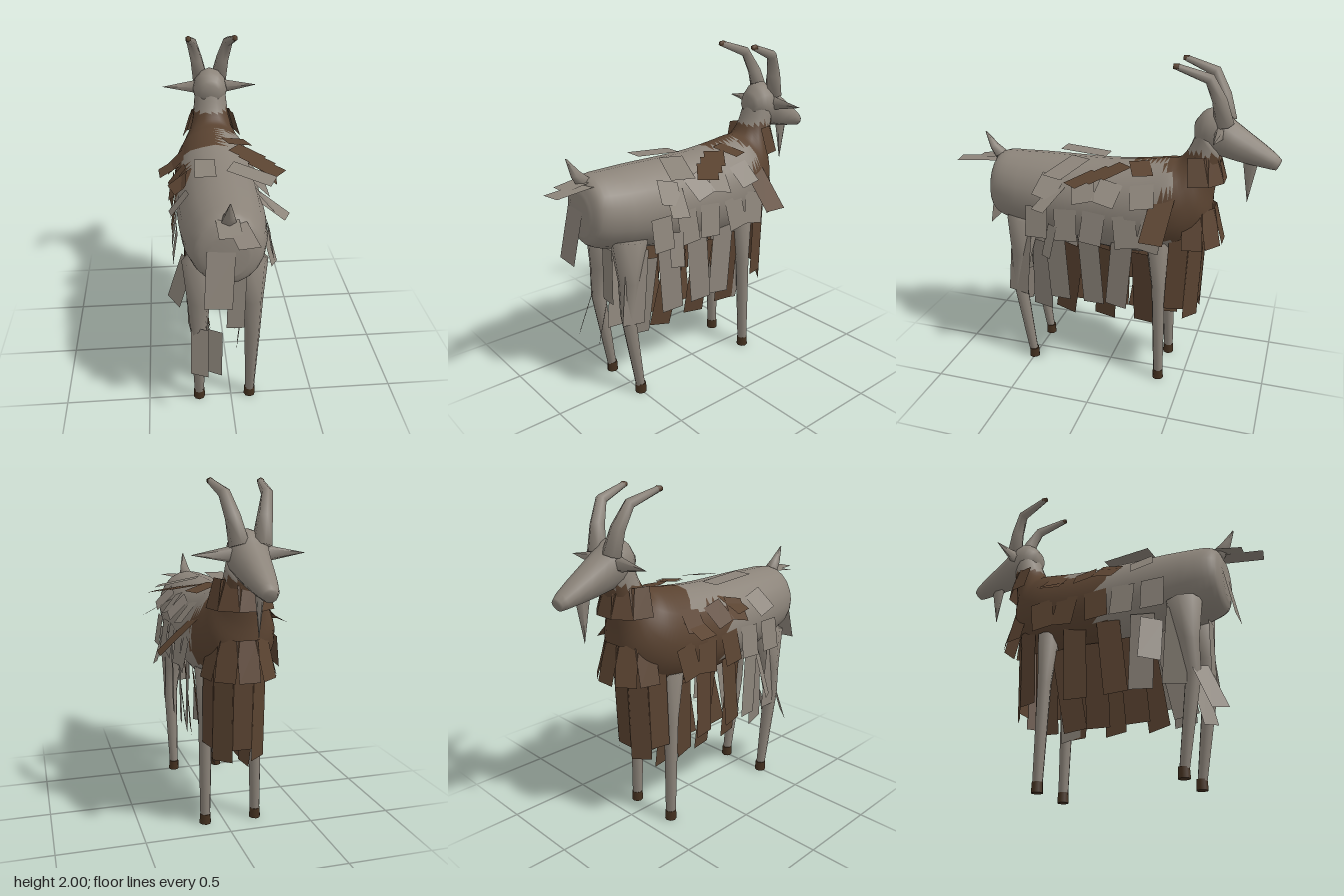
import * as THREE from 'three';

const CX = -0.04; // the body's middle line
const V = (x, y, z) => new THREE.Vector3(x, y, z);

export function createModel() {
  const goat = new THREE.Group();
  goat.name = 'goat';
  const mat = (name, color) => {
    const m = new THREE.MeshStandardMaterial({ color, side: THREE.DoubleSide });
    m.name = name;
    return m;
  };
  const grey = mat('grey wool', 0x8c847a);
  const brown = mat('brown wool', 0x5a4331);
  const dark = mat('dark hoof', 0x43301f);

  const add = (name, geometry, material, parent = goat) => {
    const mesh = new THREE.Mesh(geometry, material);
    mesh.name = name;
    parent.add(mesh);
    return mesh;
  };

  // Skin over closed rings of points; faces chosen by isSecond go to group 1
  function loft(rings, isSecond = () => false) {
    const n = rings[0].length, pts = rings.flat(), lists = [[], []];
    const tri = (a, b, c) => {
      const mid = pts[a].clone().add(pts[b]).add(pts[c]).divideScalar(3);
      lists[isSecond(mid) ? 1 : 0].push(a, b, c);
    };
    for (let i = 0; i < rings.length - 1; i++) for (let j = 0; j < n; j++) {
      const a = i * n + j, b = i * n + (j + 1) % n;
      tri(a, b, a + n);
      tri(b, b + n, a + n);
    }
    const last = (rings.length - 1) * n;
    for (const [start, flip] of [[0, true], [last, false]]) {
      const c = V(0, 0, 0);
      for (let j = 0; j < n; j++) c.addScaledVector(pts[start + j], 1 / n);
      pts.push(c);
      for (let j = 0; j < n; j++) {
        const a = start + j, b = start + (j + 1) % n;
        flip ? tri(pts.length - 1, b, a) : tri(pts.length - 1, a, b);
      }
    }
    const g = new THREE.BufferGeometry().setFromPoints(pts);
    g.setIndex([...lists[0], ...lists[1]]);
    g.addGroup(0, lists[0].length, 0);
    g.addGroup(lists[0].length, lists[1].length, 1);
    g.computeVertexNormals();
    return g;
  }

  // Rows are [top z, top y, bottom z, bottom y, half width]
  function profileLoft(rows, steps, sides, isSecond) {
    const top = new THREE.CatmullRomCurve3(rows.map(r => V(r[4], r[1], r[0])));
    const low = new THREE.CatmullRomCurve3(rows.map(r => V(0, r[3], r[2])));
    const rings = [];
    for (let i = 0; i <= steps; i++) {
      const t = top.getPoint(i / steps), b = low.getPoint(i / steps), ring = [];
      for (let j = 0; j < sides; j++) {
        const a = j / sides * Math.PI * 2, k = (1 + Math.cos(a)) / 2;
        ring.push(V(CX + t.x * Math.sin(a), b.y + (t.y - b.y) * k, b.z + (t.z - b.z) * k));
      }
      rings.push(ring);
    }
    return loft(rings, isSecond);
  }

  // Tapered limb through rows of [x, y, z, radius]
  function limb(rows, sides) {
    const p = rows.map(r => V(r[0], r[1], r[2]));
    return loft(rows.map((r, i) => {
      const t = p[Math.min(i + 1, p.length - 1)].clone().sub(p[Math.max(i - 1, 0)]).normalize();
      const u = V(1, 0, 0).addScaledVector(t, -t.x).normalize(), v = u.clone().cross(t);
      return Array.from({ length: sides }, (_, j) => {
        const a = j / sides * Math.PI * 2;
        return p[i].clone().addScaledVector(v, r[3] * Math.cos(a)).addScaledVector(u, r[3] * Math.sin(a));
      });
    }));
  }

  // Body and neck, with a ragged brown cape that reaches further back on the right
  const cape = p => {
    if (p.y > 1.49) return false;
    const rag = 0.03 * Math.sin(p.y * 37) + 0.02 * Math.sin(p.x * 41);
    if (p.x > CX + 0.04) return p.z < -0.38 + rag && p.y > 0.94;
    return p.z < (p.y > 1.3 ? -0.17 : 0.06) + rag;
  };
  add('body', profileLoft([
    [0.77, 1.28, 0.77, 1.04, 0.1], [0.72, 1.37, 0.74, 0.98, 0.18], [0.55, 1.385, 0.55, 0.92, 0.23],
    [0, 1.39, 0, 0.83, 0.255], [-0.22, 1.41, -0.25, 0.83, 0.255], [-0.35, 1.43, -0.47, 0.9, 0.235],
    [-0.41, 1.44, -0.6, 1.05, 0.185], [-0.46, 1.5, -0.62, 1.25, 0.13], [-0.52, 1.66, -0.66, 1.5, 0.1],
  ], 40, 20, cape), [grey, brown]);

  // Head
  add('head', profileLoft([
    [-0.49, 1.66, -0.5, 1.55, 0.06], [-0.55, 1.73, -0.57, 1.48, 0.105], [-0.63, 1.74, -0.66, 1.46, 0.11],
    [-0.72, 1.67, -0.75, 1.44, 0.095], [-0.95, 1.505, -0.92, 1.415, 0.055], [-0.985, 1.47, -0.955, 1.41, 0.035],
  ], 15, 12), grey);

  const beard = add('beard', new THREE.ConeGeometry(0.045, 0.24, 5).rotateX(Math.PI), grey);
  beard.position.set(CX, 1.32, -0.81);
  beard.scale.x = 0.5;

  for (const s of [-1, 1]) {
    const side = s > 0 ? 'left' : 'right', X = d => CX + s * d;
    // Horns
    add(side + 'Horn', limb([[X(0.06), 1.66, -0.66, 0.055], [X(0.085), 1.8, -0.63, 0.042],
      [X(0.115), 1.92, -0.575, 0.032], [X(0.14), 1.98, -0.4, 0.018]], 6), grey);
    add(side + 'HornTip', limb([[X(0.14), 1.98, -0.41, 0.019], [X(0.142), 1.982, -0.38, 0.014]], 6), brown);
    // Ears
    const ear = add(side + 'Ear', new THREE.ConeGeometry(0.05, 0.24, 5).rotateZ(-s * Math.PI / 2), grey);
    ear.position.set(X(0.19), 1.615, -0.64);
    ear.scale.z = 0.65;
    // Legs and hooves
    add(side + 'FrontLeg', limb([[X(0.155), 0.04, -0.35, 0.03],
      [X(0.15), 0.65, -0.335, 0.042], [X(0.14), 0.95, -0.32, 0.07]], 8), grey);
    add(side + 'BackLeg', limb([[X(0.155), 0.04, 0.505, 0.028], [X(0.155), 0.55, 0.58, 0.045],
      [X(0.15), 0.75, 0.56, 0.065], [X(0.13), 1, 0.54, 0.11]], 8), grey);
    for (const [part, z] of [['FrontHoof', -0.35], ['BackHoof', 0.503]])
      add(side + part, new THREE.CylinderGeometry(0.032, 0.035, 0.06, 8).translate(X(0.155), 0.03, z), dark);
  }

  // Tail
  add('tail', limb([[CX, 1.32, 0.71, 0.05], [CX, 1.4, 0.78, 0.03], [CX, 1.49, 0.83, 0.004]], 5), grey);

  // A flat lock of wool hanging from p by the offset drop, w wide, facing roughly along out
  const fleece = new THREE.Group();
  fleece.name = 'fleece';
  goat.add(fleece);
  function lock(name, p, drop, w, material, out) {
    const down = drop.clone().normalize();
    const across = down.clone().cross(out).normalize(), face = across.clone().cross(down);
    const m = new THREE.Matrix4().makeBasis(across, down, face);
    m.setPosition(p.clone().addScaledVector(drop, 0.5));
    add(name, new THREE.PlaneGeometry(w, drop.length()).applyMatrix4(m), material, fleece);
  }

  for (const s of [-1, 1]) {
    // Skirt: outer locks hang straight, inner ones slope under the belly
    for (let i = 0; i < 9; i++) {
      const z = 0.53 - i * 0.108, outer = i % 2 === 0 && i < 8, sway = 0.05 * Math.sin(i * 2.3 + s);
      const isBrown = s > 0 ? i === 3 || i === 5 || i === 7 : z < 0.25;
      lock('skirtLock', V(CX + s * (outer ? 0.2 : 0.14), outer ? 0.95 : 0.85, z),
        outer ? V(0, -0.45, sway) : V(-s * 0.06, -0.5, 0.04 + sway), 0.14, isBrown ? brown : grey, V(s, 0, 0.15));
    }
    // Flanks: two staggered rows lying on the body
    for (let i = 0; i < 9; i++) {
      const z = 0.4 - i * 0.09, y = i % 2 ? 1.31 : 1.13, sway = 0.04 * Math.sin(i * 1.7);
      const d = 0.005 + 0.25 * Math.sqrt(1 - ((y - 1.12) / 0.285) ** 2);
      lock('flankLock', V(CX + s * d, y, z), i % 2 ? V(s * 0.1, -0.11, sway) : V(s * 0.03, -0.19, sway),
        0.14, s < 0 && z < 0.2 ? brown : grey, V(s, 0.4, 0));
    }
  }

  // Chest: long locks below, short ones flaring on the breast and around the neck
  for (let i = 0; i < 5; i++) {
    const a = (i - 2) * 0.65, out = V(Math.sin(a), 0, -Math.cos(a));
    const around = (r, y, z) => V(CX + r * out.x, y, z + r * out.z);
    lock('chestLock', around(0.17, 1, -0.41), V(0, -0.48 - 0.07 * (i % 2), 0.02), 0.12, brown, out);
    lock('breastLock', around(0.15, 1.16, -0.48), out.clone().multiplyScalar(0.06).setY(-0.22), 0.12, brown, out);
    lock('neckLock', around(0.13, 1.48, -0.5), out.clone().multiplyScalar(0.05).setY(-0.16), 0.12, brown, out);
  }

  // Back: brown locks fanning out over the left side
  const up = V(0, 1, 0);
  for (let i = 0; i < 4; i++)
    lock('backLock', V(0.02 + i * 0.05, 1.41 - i * 0.015, -0.18 + i * 0.07), V(0.15, -0.04, i ? 0.12 : -0.06),
      0.12, brown, up);

  // Single locks that stand away from the body
  lock('shoulderLock', V(0.16, 1.26, -0.36), V(0.22, -0.21, 0.02), 0.14, brown, up);
  lock('shoulderLock', V(-0.25, 1.26, -0.24), V(-0.14, -0.08, 0.01), 0.13, brown, up);
  lock('sideLock', V(-0.18, 1.33, 0.1), V(-0.14, -0.09, 0.04), 0.14, brown, up);
  lock('sideLock', V(0.16, 1.26, 0.27), V(0.17, -0.11, 0.08), 0.1, grey, up);
  lock('sideLock', V(0.02, 1.4, 0.18), V(0.24, -0.06, 0.1), 0.14, grey, up);
  lock('spineLock', V(-0.12, 1.39, 0.05), V(-0.01, 0.02, 0.29), 0.12, grey, up);
  lock('hipLock', V(-0.24, 0.91, 0.37), V(-0.09, -0.28, 0.01), 0.13, grey, V(-1, 0, 0.6));
  lock('hipLock', V(0.22, 1.02, 0.3), V(0.05, -0.19, 0.03), 0.08, grey, V(1, 0, 0.6));
  lock('tailLock', V(-0.02, 1.34, 0.62), V(0.06, -0.01, 0.36), 0.11, grey, up);
  lock('tailLock', V(-0.05, 1.37, 0.62), V(0.01, -0.04, 0.26), 0.12, grey, up);
  lock('rumpLock', V(-0.08, 1.19, 0.77), V(-0.02, -0.31, 0.06), 0.15, grey, V(0, 0, 1));
  lock('rumpLock', V(0.02, 0.95, 0.64), V(-0.01, -0.34, 0), 0.1, grey, V(0, 0, 1));
  lock('legLock', V(-0.19, 0.6, 0.62), V(-0.01, -0.25, 0.1), 0.12, grey, V(-0.7, 0, 1));
  lock('legLock', V(-0.1, 0.55, 0.58), V(-0.01, -0.26, 0.06), 0.1, grey, V(-0.7, 0, 1));

  return goat;
}
